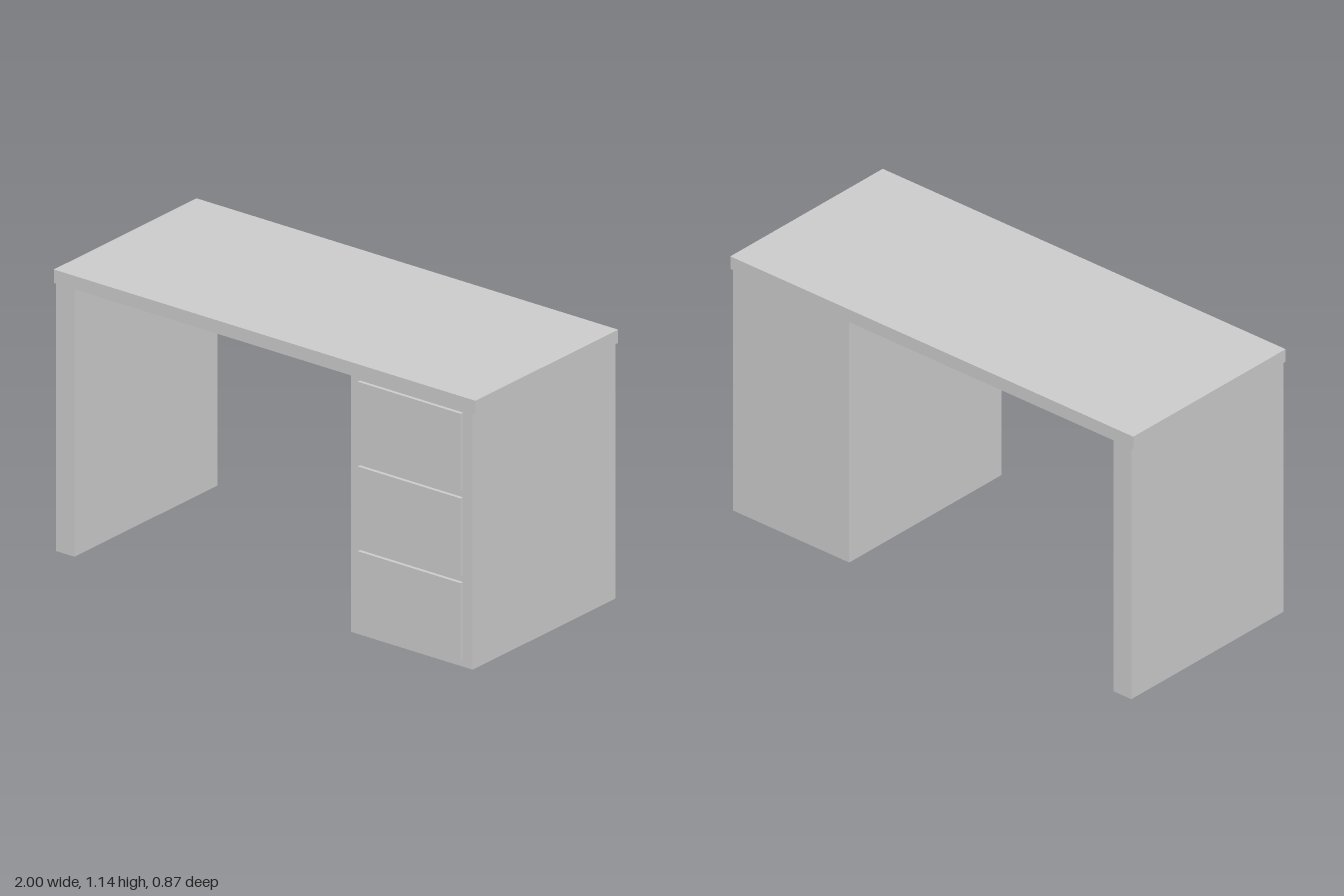
import * as THREE from 'three';

const material = new THREE.MeshStandardMaterial({ color: 0xcccccc });

// Box given by its extents along each axis
function box(name, [x0, x1], [y0, y1], [z0, z1]) {
  const mesh = new THREE.Mesh(new THREE.BoxGeometry(x1 - x0, y1 - y0, z1 - z0), material);
  mesh.position.set((x0 + x1) / 2, (y0 + y1) / 2, (z0 + z1) / 2);
  mesh.name = name;
  return mesh;
}

export function createModel() {
  const desk = new THREE.Group();
  desk.name = 'desk';

  const depth = [-0.436, 0.421];
  const underside = 1.083;

  // Top slab and the solid leg panel on the right
  desk.add(box('desktop', [-1, 1], [underside, 1.137], depth));
  desk.add(box('legPanel', [-0.99, -0.902], [0, underside], depth));

  // Drawer cabinet on the left, ending a little above the floor
  const cabinet = new THREE.Group();
  cabinet.name = 'drawerCabinet';
  cabinet.add(box('cabinetBody', [0.41, 0.987], [0.045, underside], depth));

  // Three raised drawer fronts
  for (let i = 0; i < 3; i++) {
    const y = 0.075 + i * 0.343;
    cabinet.add(box('drawerFront' + (i + 1), [0.453, 0.942], [y, y + 0.313], [depth[1], 0.436]));
  }
  desk.add(cabinet);

  return desk;
}
